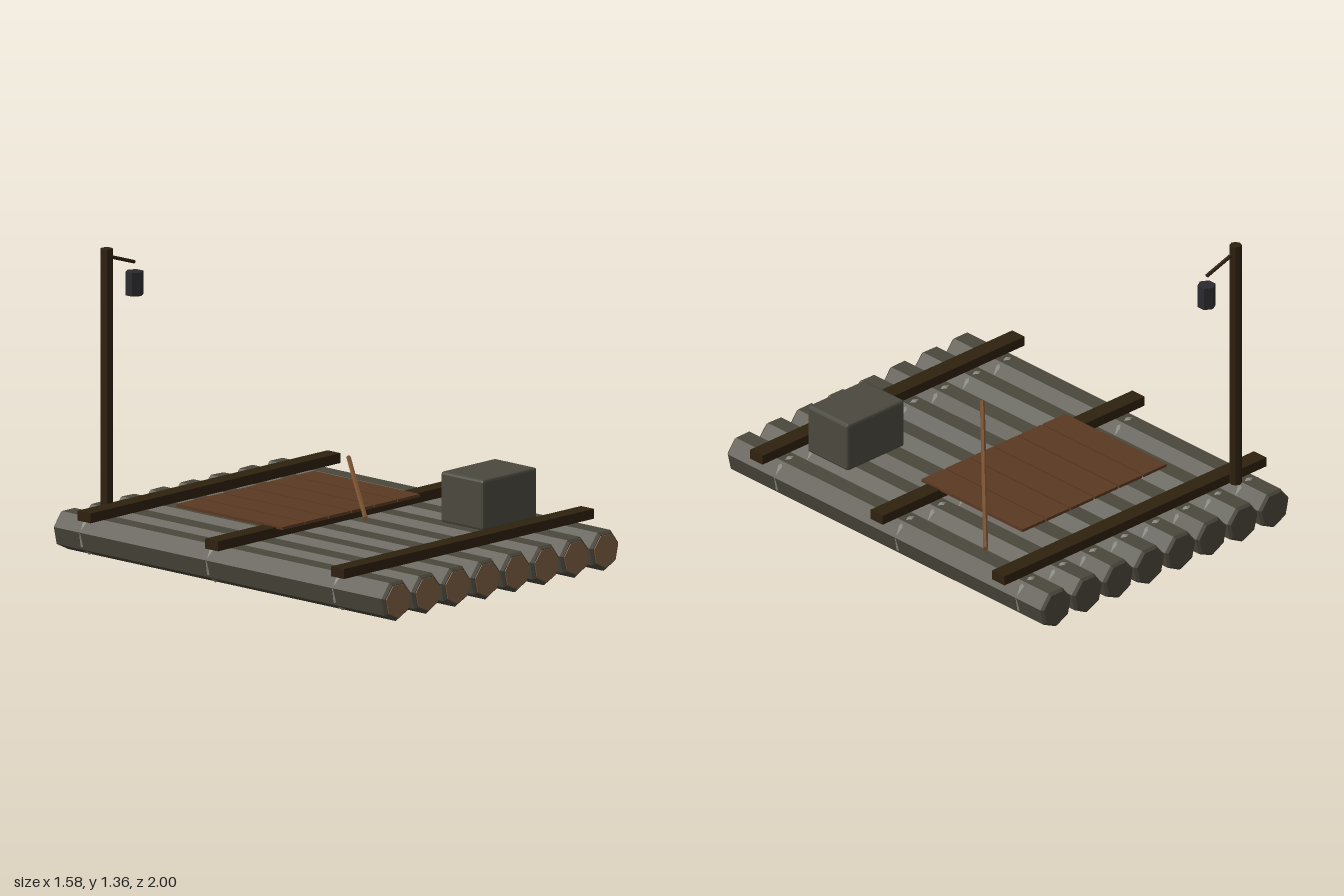
import * as THREE from 'three';
import { RoundedBoxGeometry } from 'three/addons/geometries/RoundedBoxGeometry.js';

const flat = (name, color) => {
  const m = new THREE.MeshStandardMaterial({ color, flatShading: true });
  m.name = name;
  return m;
};

export function createModel() {
  const raft = new THREE.Group();
  raft.name = 'raft';

  const bark = flat('bark', 0x4a473b);
  const cutWood = flat('cutWood', 0x7d5f42);
  const darkWood = flat('darkWood', 0x2e210f);
  const plankWood = flat('plankWood', 0x5a3921);
  const poleWood = flat('poleWood', 0x765030);
  const rope = flat('rope', 0x8f8d84);
  const crateGrey = flat('crateGrey', 0x4b493e);
  const iron = flat('iron', 0x2b2b2f);

  const add = (name, geometry, material, x = 0, y = 0, z = 0) => {
    const mesh = new THREE.Mesh(geometry, material);
    mesh.name = name;
    mesh.position.set(x, y, z);
    raft.add(mesh);
    return mesh;
  };

  // Round bar between two points
  const bar = (name, a, b, radius, sides, material) => {
    const from = new THREE.Vector3(...a), to = new THREE.Vector3(...b);
    const dir = to.clone().sub(from);
    const mesh = add(name, new THREE.CylinderGeometry(radius, radius, dir.length(), sides), material);
    mesh.position.copy(from).add(to).multiplyScalar(0.5);
    mesh.quaternion.setFromUnitVectors(new THREE.Vector3(0, 1, 0), dir.normalize());
    return mesh;
  };

  // Seven-sided logs with chamfered ends, a pale cut face at the front, and rope rings
  const R = 0.093, logY = 0.097;
  const profile = [[0, -0.996], [R - 0.012, -0.996], [R, -0.984], [R, 0.984], [R - 0.012, 0.996], [0, 0.996]]
    .map(([r, y]) => new THREE.Vector2(r, y));
  const logGeometry = new THREE.LatheGeometry(profile, 7).rotateX(Math.PI / 2);
  const faceGeometry = new THREE.CylinderGeometry(0.077, 0.077, 0.006, 7).rotateX(Math.PI / 2);
  const ringGeometry = new THREE.TorusGeometry(0.084, 0.009, 4, 9);
  ringGeometry.scale(1, 1, 1.5);
  for (let i = 0; i < 8; i++) {
    const x = (i - 3.5) * 0.187;
    const turn = 0.03 * Math.sin(i * 2.3);
    add('log', logGeometry, bark, x, logY).rotation.z = turn;
    add('logCutFace', faceGeometry, cutWood, x, logY, 0.997).rotation.z = turn;
    for (const z of [-0.83, -0.07, 0.69]) {
      add('ropeLashing', ringGeometry, rope, x, logY, z).rotation.z = Math.PI / 2 + turn;
    }
  }

  // Cross beams
  for (const z of [-0.763, 0.003, 0.76]) {
    add('crossBeam', new THREE.BoxGeometry(1.575, 0.044, 0.078), darkWood, 0, 0.206, z);
  }

  // Deck planks
  for (let i = 0; i < 6; i++) {
    add('deckPlank', new THREE.BoxGeometry(0.137, 0.013, 0.637), plankWood, -0.352 + i * 0.1455, 0.229, -0.238);
  }

  // Punting pole lying across the deck
  bar('puntingPole', [-0.18, 0.277, 0.35], [0.695, 0.246, -0.587], 0.011, 6, poleWood);

  // Crate
  add('crate', new RoundedBoxGeometry(0.343, 0.228, 0.255, 1, 0.012), crateGrey, 0.41, 0.311, 0.528);

  // Lamp post with a sloping arm and a lantern
  bar('lampPost', [-0.585, 0.186, -0.82], [-0.585, 1.362, -0.82], 0.027, 8, darkWood);
  bar('lampArm', [-0.58, 1.327, -0.82], [-0.412, 1.273, -0.82], 0.009, 6, darkWood);
  add('lantern', new THREE.CylinderGeometry(0.041, 0.041, 0.105, 6), iron, -0.41, 1.178, -0.82);

  return raft;
}
